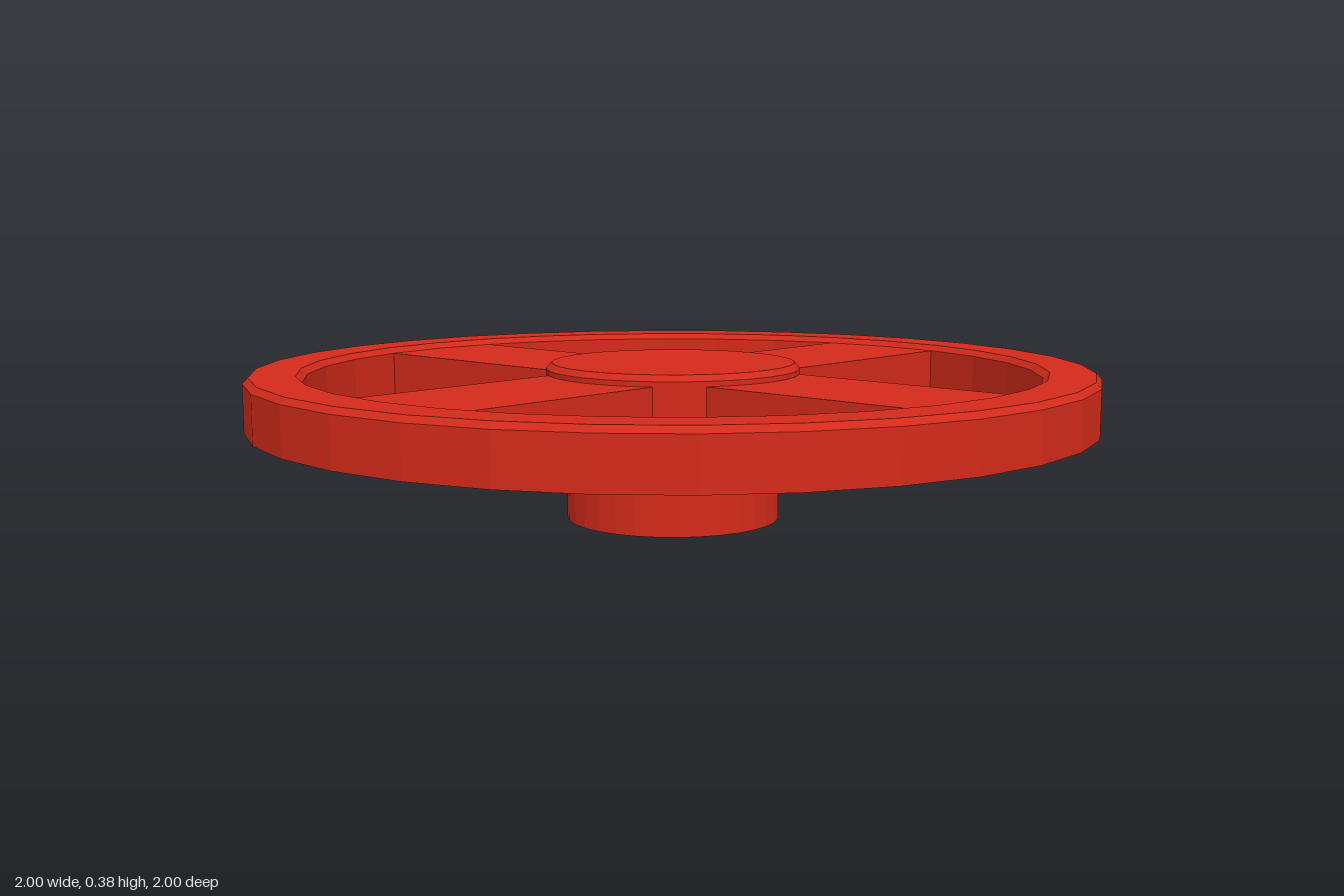
import * as THREE from 'three';

const SIDES = 32;
const RIM_BOTTOM = 0.237, SPOKE_TOP = 0.35;

export function createModel() {
  const wheel = new THREE.Group();
  wheel.name = 'handwheel';
  const red = new THREE.MeshStandardMaterial({ color: 0xd42a1a, flatShading: true });

  const add = (name, geometry) => {
    const mesh = new THREE.Mesh(geometry, red);
    mesh.name = name;
    wheel.add(mesh);
    return mesh;
  };
  const turned = (points) =>
    new THREE.LatheGeometry(points.map(([r, y]) => new THREE.Vector2(r, y)), SIDES);

  // Rim with small chamfers on both upper edges
  add('rim', turned([
    [0.867, RIM_BOTTOM], [1, RIM_BOTTOM], [1, 0.35], [0.987, 0.364],
    [0.882, 0.364], [0.867, 0.35], [0.867, RIM_BOTTOM],
  ]));

  // Shaft boss below, wider chamfered cap above
  add('hub', turned([
    [0, 0], [0.255, 0], [0.255, 0.216], [0.303, 0.216],
    [0.303, 0.362], [0.29, 0.376], [0, 0.376],
  ]));

  // Four flat spokes, running from inside the hub into the rim
  const inner = 0.17, outer = 0.9;
  for (let i = 0; i < 4; i++) {
    const geometry = new THREE.BoxGeometry(outer - inner, SPOKE_TOP - RIM_BOTTOM, 0.335);
    geometry.translate((inner + outer) / 2, (RIM_BOTTOM + SPOKE_TOP) / 2, 0);
    add('spoke' + (i + 1), geometry).rotation.y = i * Math.PI / 2;
  }
  return wheel;
}
